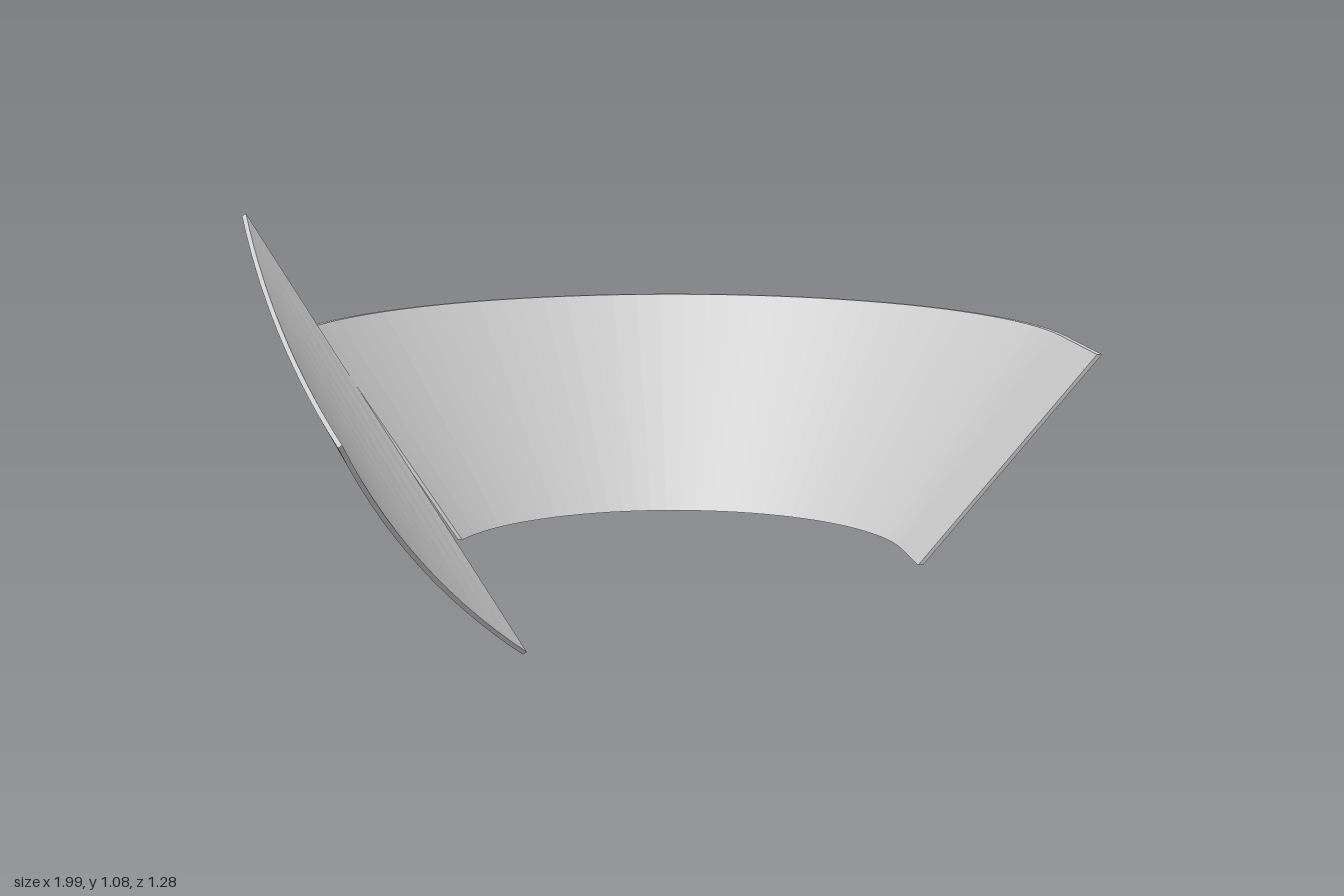
import * as THREE from 'three';

const THICK = 0.012;
const material = new THREE.MeshStandardMaterial({ color: 0xcccccc, flatShading: true, side: THREE.DoubleSide });

// Thin closed sheet from four-corner sections: outer top, outer bottom, inner bottom, inner top
function sheet(name, sections) {
  const positions = sections.flatMap(s => s.flatMap(p => p.toArray()));
  const index = [];
  for (let i = 0; i < sections.length - 1; i++) {
    for (let k = 0; k < 4; k++) {
      const a = i * 4 + k, c = i * 4 + (k + 1) % 4;
      index.push(a, c, a + 4, c, c + 4, a + 4);
    }
  }
  const e = (sections.length - 1) * 4;
  index.push(0, 2, 1, 0, 3, 2, e, e + 1, e + 2, e, e + 2, e + 3);
  const geometry = new THREE.BufferGeometry();
  geometry.setAttribute('position', new THREE.Float32BufferAttribute(positions, 3));
  geometry.setIndex(index);
  geometry.computeVertexNormals();
  const mesh = new THREE.Mesh(geometry, material);
  mesh.name = name;
  return mesh;
}

// Sloping band: straight tail, then part of a cone
function createBand() {
  const cx = 0.03, cz = 0.315, topR = 0.96, bottomR = 0.57, top = 0.8, bottom = 0.28;
  const section = (angle, topZ = 0, bottomZ = 0) => {
    const at = (r, y, z) => new THREE.Vector3(cx + r * Math.cos(angle), y, cz - r * Math.sin(angle) + z);
    return [at(topR, top, topZ), at(bottomR, bottom, bottomZ),
      at(bottomR - THICK, bottom, bottomZ), at(topR - THICK, top, topZ)];
  };
  const sections = [section(0, 0.325, 0.195)];
  const steps = 40, end = THREE.MathUtils.degToRad(154.3);
  for (let i = 0; i <= steps; i++) sections.push(section(end * i / steps));
  return sheet('curvedBand', sections);
}

// Triangular arrowhead, bowed outwards between its base and its tip
function createHead() {
  const upper = new THREE.Vector3(-1, 1.07, -0.175);
  const lower = new THREE.Vector3(-0.33, 0, 0.145);
  const tip = new THREE.Vector3(-0.79, 0.61, 0.6);
  const out = new THREE.Vector3().crossVectors(lower.clone().sub(upper), tip.clone().sub(upper)).normalize();
  if (out.x > 0) out.negate();
  const sections = [], steps = 14;
  for (let i = 0; i <= steps; i++) {
    const t = i / steps, bow = 4 * t * (1 - t);
    const a = upper.clone().lerp(tip, t).addScaledVector(out, 0.028 * bow);
    const b = lower.clone().lerp(tip, t).addScaledVector(out, 0.045 * bow);
    sections.push([a, b, b.clone().addScaledVector(out, -THICK), a.clone().addScaledVector(out, -THICK)]);
  }
  return sheet('arrowHead', sections);
}

export function createModel() {
  const model = new THREE.Group();
  model.name = 'curvedArrow';
  model.add(createBand(), createHead());
  return model;
}
